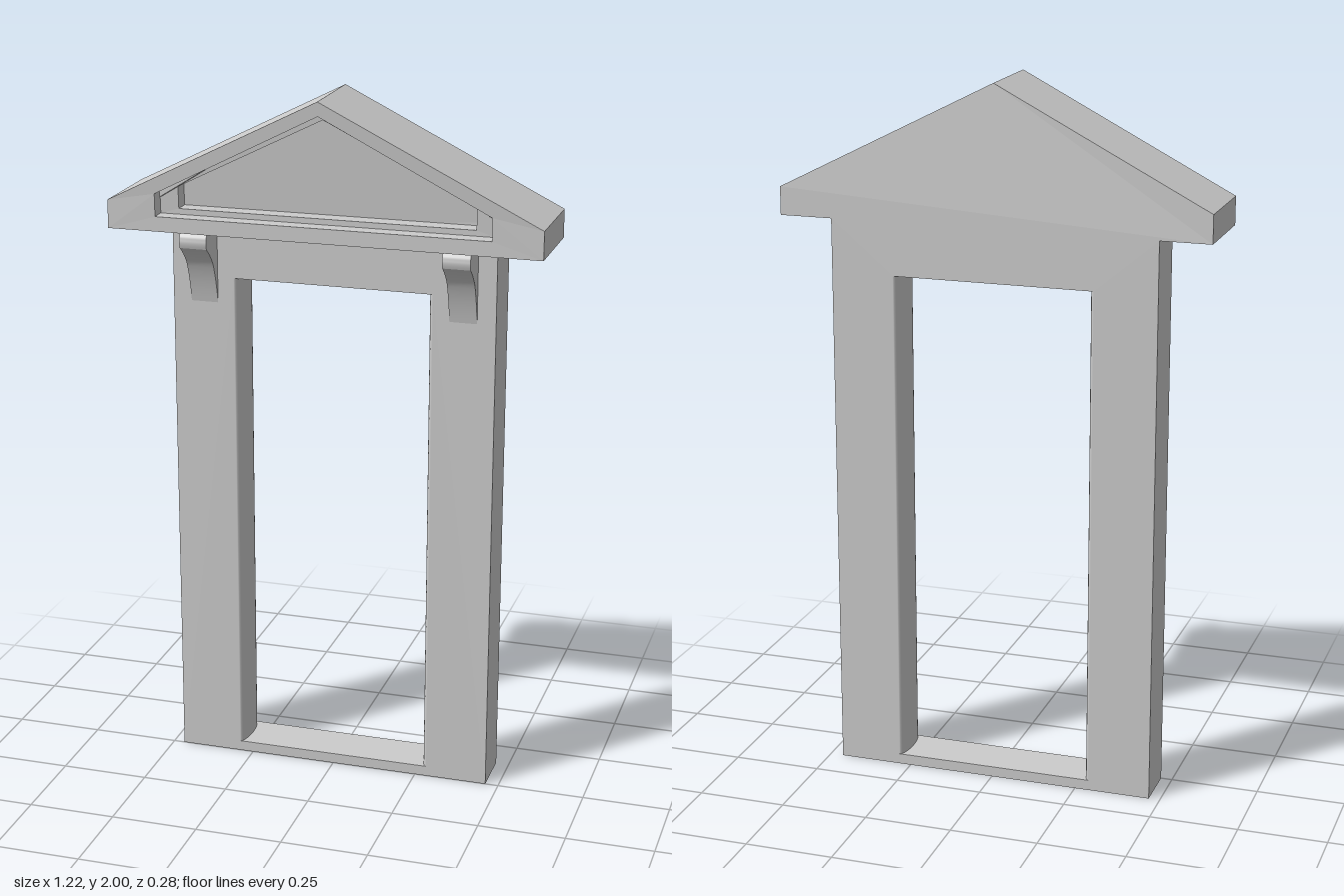
import * as THREE from 'three';
import { toCreasedNormals } from 'three/addons/utils/BufferGeometryUtils.js';

const material = new THREE.MeshStandardMaterial({ color: 0xcccccc });

function addMesh(parent, name, geometry) {
  const mesh = new THREE.Mesh(geometry, material);
  mesh.name = name;
  parent.add(mesh);
  return mesh;
}

const points = (list) => list.map(([x, y]) => new THREE.Vector2(x, y));

// Five-sided gable outline: flat base, short upright ends, pointed top
const gable = (half, base, eave, apex) =>
  points([[-half, base], [half, base], [half, eave], [0, apex], [-half, eave]]);

// Extrude an outline, with an optional hole, between two depths
function slab(outline, hole, z0, z1) {
  const shape = new THREE.Shape(outline);
  if (hole) shape.holes.push(new THREE.Path(hole));
  const geometry = new THREE.ExtrudeGeometry(shape, { depth: z1 - z0, bevelEnabled: false });
  return geometry.translate(0, 0, z0);
}

// Lean the part above the eaves forward
function leanForward(geometry) {
  const p = geometry.attributes.position;
  for (let i = 0; i < p.count; i++) {
    p.setZ(i, p.getZ(i) + 0.024 * Math.max(0, p.getY(i) - 1.69) / 0.31);
  }
  geometry.computeVertexNormals();
  return geometry;
}

export function createModel() {
  const model = new THREE.Group();
  model.name = 'doorway';

  // Frame with sill, jambs and lintel around the opening
  const surround = new THREE.Group();
  surround.name = 'surround';
  surround.position.x = -0.003;
  model.add(surround);
  const opening = points([[-0.287, 0.03], [-0.287, 1.46], [0.287, 1.46], [0.287, 0.03]]);
  const outer = points([[-0.465, 0], [0.465, 0], [0.465, 1.61], [-0.465, 1.61]]);
  addMesh(surround, 'frame', slab(outer, opening, -0.14, 0));

  // Side profile of a bracket: forward, up
  const bracketShape = new THREE.Shape();
  bracketShape.moveTo(0, 1.387);
  bracketShape.quadraticCurveTo(0.014, 1.46, 0.037, 1.507);
  bracketShape.quadraticCurveTo(0.055, 1.535, 0.088, 1.56);
  bracketShape.quadraticCurveTo(0.1, 1.59, 0.075, 1.61);
  bracketShape.lineTo(0, 1.61);

  for (const [side, label] of [[1, 'left'], [-1, 'right']]) {
    // Rounded inner face of each jamb
    const jamb = new THREE.CylinderGeometry(1, 1, 1.43, 32, 1, true).scale(0.018, 1, 0.07);
    addMesh(surround, label + 'JambRounding', jamb).position.set(side * 0.287, 0.745, -0.07);

    // Scrolled bracket under the pediment
    const bracket = new THREE.ExtrudeGeometry(bracketShape, { depth: 0.078, bevelEnabled: false, curveSegments: 8 });
    bracket.translate(0, 0, -0.039).rotateY(-Math.PI / 2);
    addMesh(surround, label + 'Bracket', toCreasedNormals(bracket, 0.5)).position.x = side * 0.373;
  }

  // Pediment in three layers, giving a two-step recessed panel
  const pediment = new THREE.Group();
  pediment.name = 'pediment';
  model.add(pediment);
  const outline = gable(0.612, 1.61, 1.69, 2);
  const wideRecess = gable(0.473, 1.652, 1.716, 1.96).reverse();
  const narrowRecess = gable(0.42, 1.668, 1.73, 1.942).reverse();
  addMesh(pediment, 'pedimentBody', leanForward(slab(outline, null, -0.14, 0.025)));
  addMesh(pediment, 'pedimentInnerStep', leanForward(slab(outline, narrowRecess, 0.025, 0.075)));
  addMesh(pediment, 'pedimentRim', leanForward(slab(outline, wideRecess, 0.075, 0.12)));

  return model;
}
